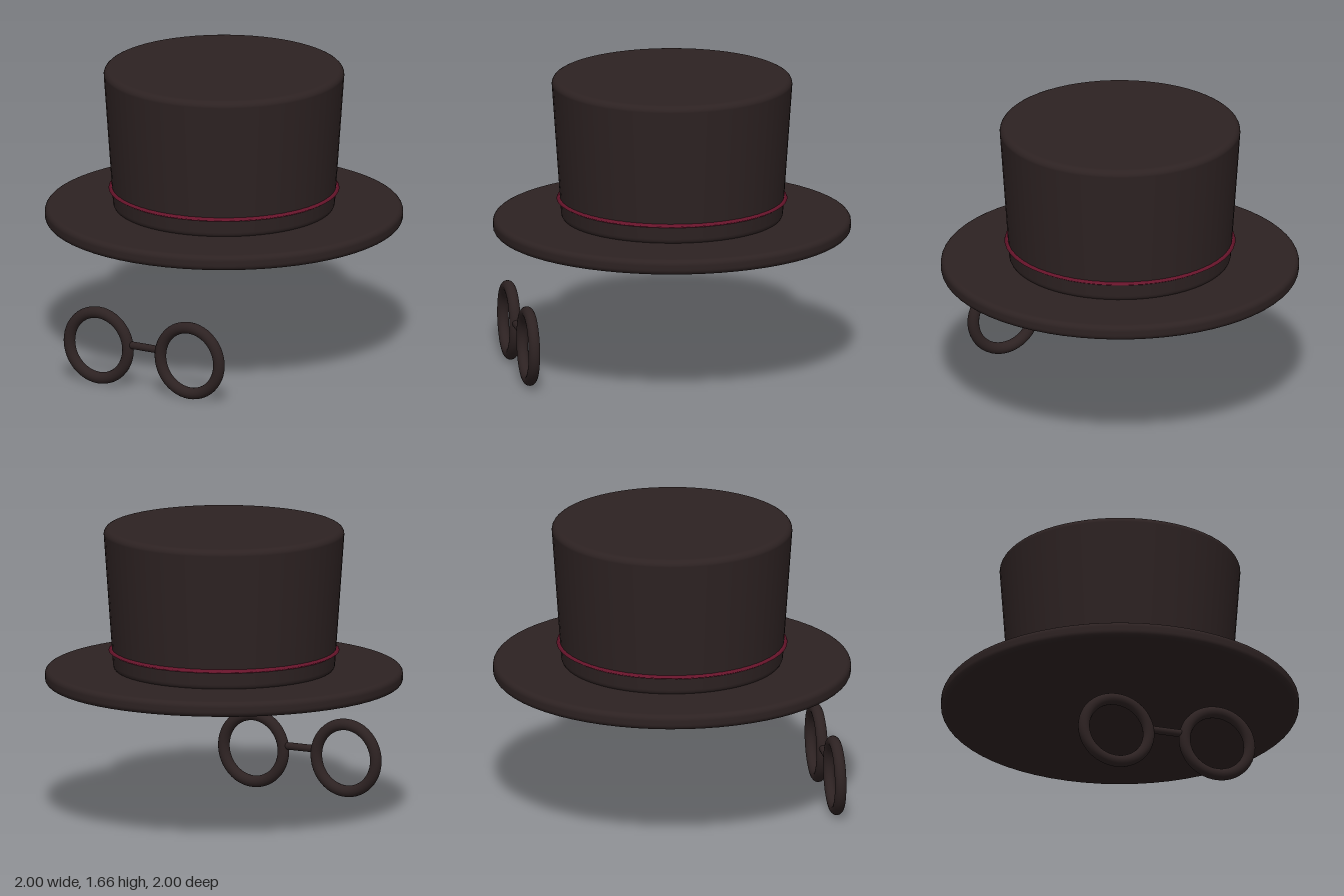
import * as THREE from 'three';

const felt = new THREE.MeshStandardMaterial({ color: 0x2d2222 });
felt.name = 'dark felt';
const ribbon = new THREE.MeshStandardMaterial({ color: 0x7a1a34 });
ribbon.name = 'crimson ribbon';

function add(parent, name, geometry, material, x = 0, y = 0, z = 0) {
  const mesh = new THREE.Mesh(geometry, material);
  mesh.name = name;
  mesh.position.set(x, y, z);
  parent.add(mesh);
  return mesh;
}

// Closed, tapered disc with rounded rims, turned around the y axis
function roundedDisc(rBottom, rTop, y0, y1, bevel) {
  const pts = [new THREE.Vector2(0, y0), new THREE.Vector2(rBottom - bevel - 0.01, y0)];
  const corner = (r, y, from) => {
    for (let i = 0; i <= 5; i++) {
      const a = from + (i / 5) * Math.PI / 2;
      pts.push(new THREE.Vector2(r - bevel + bevel * Math.cos(a), y + bevel * Math.sin(a)));
    }
  };
  corner(rBottom, y0 + bevel, -Math.PI / 2);
  corner(rTop, y1 - bevel, 0);
  pts.push(new THREE.Vector2(rTop - bevel - 0.01, y1), new THREE.Vector2(0, y1));
  return new THREE.LatheGeometry(pts, 64);
}

export function createModel() {
  const model = new THREE.Group();
  model.name = 'hatAndGlasses';

  // Top hat
  const hat = new THREE.Group();
  hat.name = 'topHat';
  model.add(hat);
  add(hat, 'brim', roundedDisc(1, 1, 0.775, 0.86, 0.03), felt);
  add(hat, 'crown', roundedDisc(0.62, 0.672, 0.85, 1.66, 0.035), felt);

  // Thin ribbon with a triangular section
  const band = add(hat, 'hatBand', new THREE.TorusGeometry(0.628, 0.017, 3, 48), ribbon, 0, 0.964, 0);
  band.rotation.x = Math.PI / 2;

  // Round glasses floating under the front of the brim
  const glasses = new THREE.Group();
  glasses.name = 'glasses';
  glasses.position.set(0, 0.225, 0.87);
  model.add(glasses);
  for (const [side, x] of [['left', 0.293], ['right', -0.297]]) {
    add(glasses, side + 'Rim', new THREE.TorusGeometry(0.19, 0.0325, 16, 48), felt, x);
  }
  const bridge = add(glasses, 'bridge', new THREE.CylinderGeometry(0.021, 0.021, 0.21, 16), felt, -0.002, 0.032, 0);
  bridge.rotation.z = Math.PI / 2;

  return model;
}
